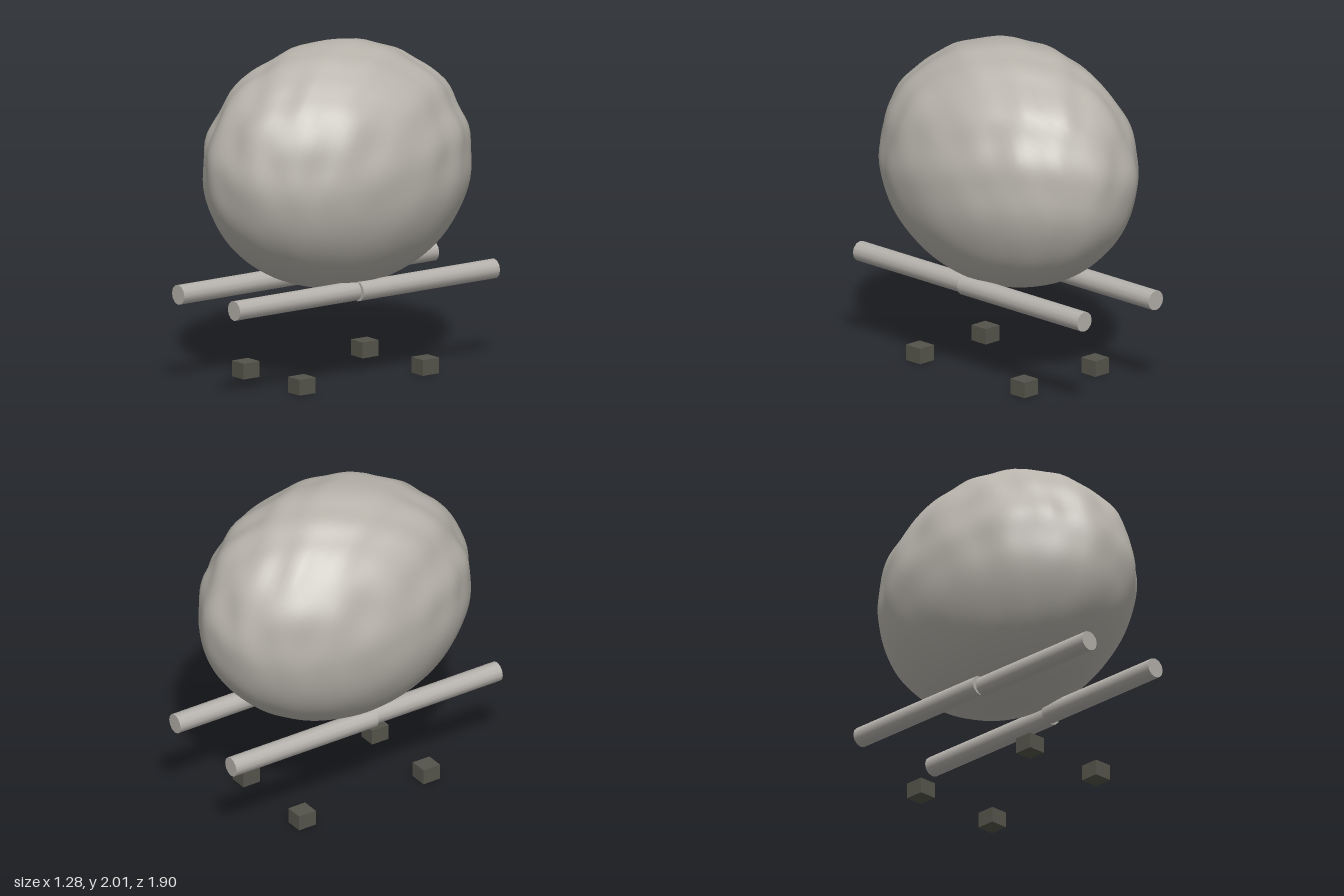
import * as THREE from 'three';
import { mergeVertices } from 'three/addons/utils/BufferGeometryUtils.js';

const stone = new THREE.MeshStandardMaterial({ color: 0xb8b4ac });
stone.name = 'stone grey';
const metal = new THREE.MeshStandardMaterial({ color: 0xb4b0ab });
metal.name = 'rail grey';
const dark = new THREE.MeshStandardMaterial({ color: 0x55544b });
dark.name = 'dark grey';

// Ellipsoid with shallow lumps that fade out towards the underside
function boulderGeometry() {
  let geo = new THREE.IcosahedronGeometry(1, 18);
  geo.deleteAttribute('uv');
  geo.deleteAttribute('normal');
  geo = mergeVertices(geo, 1e-4);
  const pos = geo.attributes.position;
  const p = new THREE.Vector3();
  for (let i = 0; i < pos.count; i++) {
    p.fromBufferAttribute(pos, i).normalize();
    const fade = 0.2 + 0.8 * THREE.MathUtils.smoothstep(p.y, -0.35, 0.25);
    const lumps =
      0.013 * Math.sin(13 * p.x + 1.5 * p.y) * Math.sin(12 * p.z + 2 * p.y) +
      0.009 * Math.cos(17 * p.x) * Math.cos(15 * p.z) * Math.cos(9 * p.y) +
      0.006 * Math.sin(14 * p.y + 5 * p.x * p.z);
    const r = 1 + fade * lumps;
    pos.setXYZ(i, p.x * r * 0.64, p.y * r * 0.732, p.z * r * 0.868);
  }
  geo.computeVertexNormals();
  return geo;
}

export function createModel() {
  const model = new THREE.Group();
  model.name = 'boulderOnRails';

  const add = (name, geometry, material, x, y, z) => {
    const mesh = new THREE.Mesh(geometry, material);
    mesh.name = name;
    mesh.position.set(x, y, z);
    model.add(mesh);
  };

  add('boulder', boulderGeometry(), stone, 0, 1.265, -0.018);

  // Each rail is two rods, the rear one set slightly further out
  const railGeo = (length) => new THREE.CylinderGeometry(0.06, 0.06, length, 12).rotateX(Math.PI / 2);
  const frontRail = railGeo(0.895);
  const rearRail = railGeo(1.005);
  const block = new THREE.BoxGeometry(0.113, 0.095, 0.118);

  for (const side of [1, -1]) {
    const label = side > 0 ? 'left' : 'right';
    add(label + 'FrontRail', frontRail, metal, side * 0.27, 0.56, 0.5025);
    add(label + 'RearRail', rearRail, metal, side * 0.294, 0.56, -0.4475);
    // Ground blocks below the rails
    add(label + 'FrontBlock', block, dark, side * 0.27, 0.0475, 0.45);
    add(label + 'RearBlock', block, dark, side * 0.292, 0.0475, -0.445);
  }
  return model;
}
